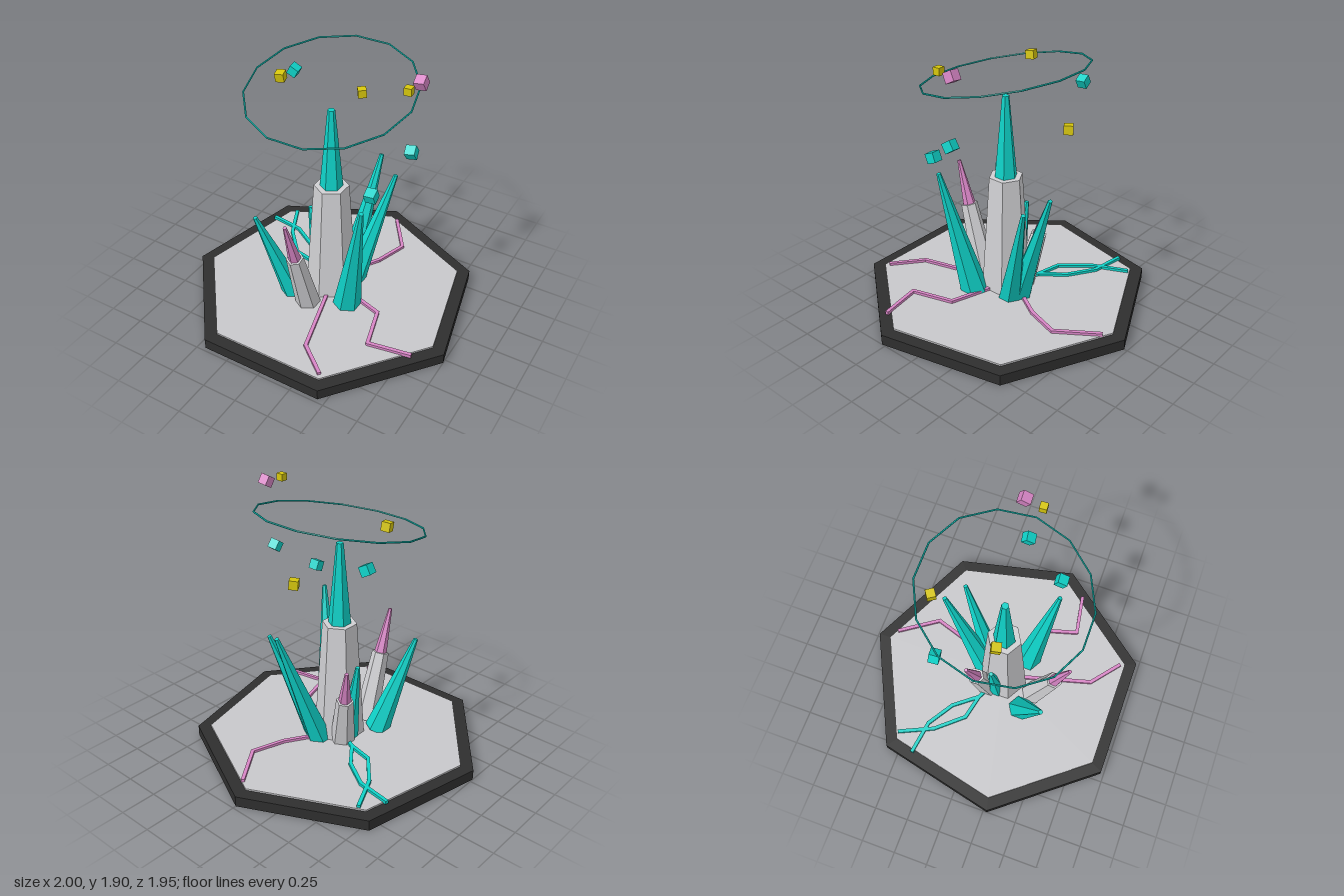
import * as THREE from 'three';

const flat = (name, color) => {
  const m = new THREE.MeshStandardMaterial({ color, flatShading: true });
  m.name = name;
  return m;
};

export function createModel() {
  const model = new THREE.Group();
  model.name = 'crystalShrine';
  const dark = flat('darkStone', 0x2e2e2e);
  const floor = flat('paleFloor', 0xc8c8cb);
  const grey = flat('greyCrystal', 0xd0d0d3);
  const teal = flat('teal', 0x0fd2c8);
  const pink = flat('pink', 0xd886c6);
  const yellow = flat('yellow', 0xd6c60c);
  const CZ = 0.05; // depth of the central axis
  const V = (p) => new THREE.Vector3(...p);

  const add = (name, geometry, material, position, parent = model) => {
    const mesh = new THREE.Mesh(geometry, material);
    mesh.name = name;
    mesh.position.set(...position);
    parent.add(mesh);
    return mesh;
  };

  // Seven-sided base with an inset floor, one corner pointing backwards
  const slab = (name, r, y0, y1, material) => {
    const g = new THREE.CylinderGeometry(r, r, y1 - y0, 7);
    add(name, g, material, [0, (y0 + y1) / 2, CZ]).rotation.y = Math.PI;
  };
  slab('base', 1.026, 0, 0.076, dark);
  slab('floor', 0.933, 0.07, 0.088, floor);

  // Six-sided tapered shard between two points
  const shard = (name, from, to, r0, r1, material) => {
    const a = V(from), b = V(to), dir = b.clone().sub(a);
    const g = new THREE.CylinderGeometry(r1, r0, dir.length(), 6);
    const mesh = add(name, g, material, a.clone().add(b).multiplyScalar(0.5).toArray());
    mesh.quaternion.setFromUnitVectors(new THREE.Vector3(0, 1, 0), dir.normalize());
  };

  // Central column and its spire
  shard('centralColumn', [0, 0.08, CZ], [0, 0.95, CZ], 0.18, 0.12, grey);
  shard('centralSpire', [0, 0.94, CZ], [0, 1.53, CZ], 0.08, 0.025, teal);

  // Leaning teal crystals: base, tip, base radius
  [
    [[-0.19, 0.08, 0.25], [-0.36, 0.79, 0.44], 0.09],
    [[0.2, 0.08, 0.175], [0.375, 1.02, 0.315], 0.1],
    [[0.045, 0.08, -0.11], [0.125, 0.97, -0.43], 0.09],
    [[0.11, 0.08, -0.08], [0.285, 0.9, -0.34], 0.085],
    [[-0.1, 0.08, 0.035], [-0.19, 0.68, 0.02], 0.07],
  ].forEach(([a, b, r]) => shard('leaningCrystal', a, b, r, 0.016, teal));

  // Grey stumps tipped with pink: base, shoulder, tip
  [
    [[-0.045, 0.08, 0.3], [-0.05, 0.575, 0.445], [-0.055, 0.89, 0.54]],
    [[-0.1, 0.08, -0.03], [-0.18, 0.47, -0.1], [-0.235, 0.72, -0.148]],
  ].forEach(([a, b, c]) => {
    shard('stump', a, b, 0.088, 0.06, grey);
    shard('stumpTip', b, c, 0.045, 0.013, pink);
  });

  // Glowing veins across the floor, given as x, z points
  const vein = (name, points, material) => {
    const group = new THREE.Group();
    group.name = name;
    model.add(group);
    for (let i = 0; i + 1 < points.length; i++) {
      const [x0, z0] = points[i], [x1, z1] = points[i + 1];
      const g = new THREE.BoxGeometry(Math.hypot(x1 - x0, z1 - z0) + 0.012, 0.024, 0.025);
      const s = add('veinSegment', g, material, [(x0 + x1) / 2, 0.095, (z0 + z1) / 2], group);
      s.rotation.y = -Math.atan2(z1 - z0, x1 - x0);
    }
  };
  vein('backVein', [[0.05, -0.13], [0.18, -0.34], [0.255, -0.57], [0.07, -0.84]], pink);
  vein('sideVein', [[0.12, 0.07], [0.44, 0.17], [0.525, 0.465], [0.82, 0.415]], pink);
  vein('frontVein', [[0.03, 0.15], [0.18, 0.69], [0.385, 0.855]], pink);
  vein('leftVeinA', [[-0.14, -0.03], [-0.22, -0.07], [-0.4, -0.11], [-0.565, -0.3], [-0.675, -0.54]], teal);
  vein('leftVeinB', [[-0.22, -0.07], [-0.35, -0.235], [-0.54, -0.355], [-0.78, -0.39]], teal);

  // Tilted halo
  const halo = add('halo', new THREE.TorusGeometry(0.56, 0.006, 6, 14), teal, [0, 1.683, 0.053]);
  halo.rotation.x = Math.PI / 2 + 0.21;

  // Floating cubes: position, size, rotation, material
  [
    [[0.575, 1.845, -0.033], 0.068, [0.5, 0.1, 0.1], pink],
    [[0.556, 1.845, 0.093], 0.049, [0.02, 0.06, 0.03], yellow],
    [[-0.336, 1.71, 0.112], 0.06, [0.15, 0.25, 0.05], yellow],
    [[-0.46, 1.565, -0.232], 0.066, [0.05, 0.1, -0.5], teal],
    [[-0.045, 1.415, -0.432], 0.06, [0.03, 0.6, 0.05], yellow],
    [[0.558, 1.375, 0.015], 0.068, [0.6, 0.2, 0.05], teal],
    [[0.434, 1.17, 0.296], 0.07, [0.4, 0.08, 0.02], teal],
  ].forEach(([p, s, r, m]) => {
    add('floatingCube', new THREE.BoxGeometry(s, s, s), m, p).rotation.set(...r);
  });

  return model;
}
